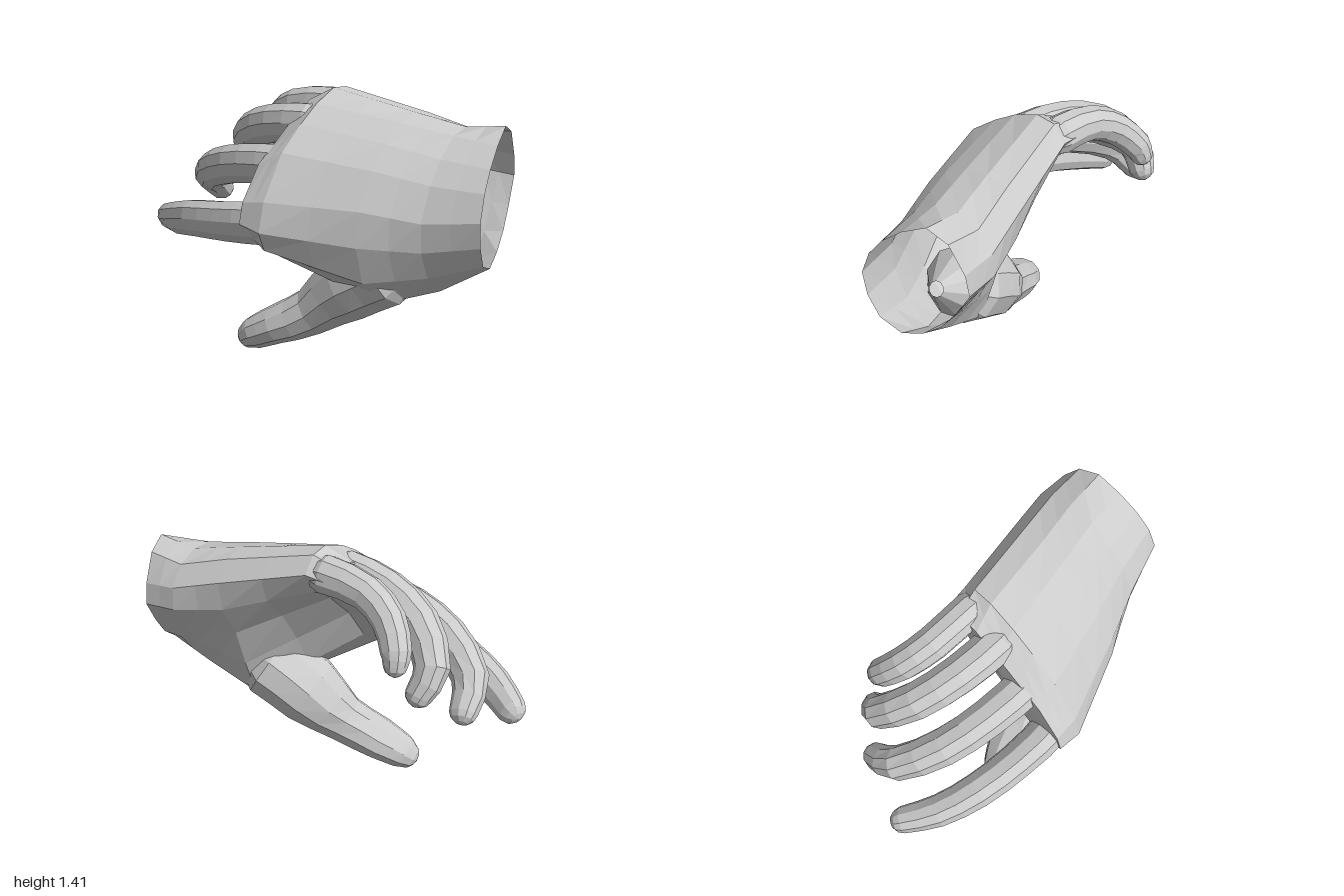
import * as THREE from 'three';

const V = (x, y, z) => new THREE.Vector3(x, y, z);
const skin = new THREE.MeshStandardMaterial({ color: 0xcccccc, flatShading: true, side: THREE.DoubleSide });

// Joins closed rings of equal point count and closes the last ring with a fan.
function loft(name, rings, tip) {
  const n = rings[0].length;
  const last = (rings.length - 1) * n;
  const pos = [...rings.flat(), tip].flatMap((p) => [p.x, p.y, p.z]);
  const index = [];
  for (let r = 0; r < rings.length - 1; r++) {
    for (let i = 0; i < n; i++) {
      const a = r * n + i, b = r * n + ((i + 1) % n);
      index.push(a, a + n, b + n, a, b + n, b);
    }
  }
  for (let i = 0; i < n; i++) index.push(last + i, last + n, last + ((i + 1) % n));
  let geo = new THREE.BufferGeometry();
  geo.setAttribute('position', new THREE.Float32BufferAttribute(pos, 3));
  geo.setIndex(index);
  geo = geo.toNonIndexed();
  geo.computeVertexNormals();
  const mesh = new THREE.Mesh(geo, skin);
  mesh.name = name;
  return mesh;
}

// Tapered digit along a curve; each station is [x, y, z, width radius, thickness radius].
function digit(name, stations, side, sides = 10) {
  const curve = new THREE.CatmullRomCurve3(stations.map((s) => V(s[0], s[1], s[2])));
  const spans = stations.length - 1;
  const steps = spans * 2;
  const rings = [];
  const addRing = (t, scale, push) => {
    const k = Math.min(Math.floor(t * spans), spans - 1), f = t * spans - k;
    const w = THREE.MathUtils.lerp(stations[k][3], stations[k + 1][3], f) * scale;
    const h = THREE.MathUtils.lerp(stations[k][4], stations[k + 1][4], f) * scale;
    const dir = curve.getTangent(t);
    const u = side.clone().addScaledVector(dir, -side.dot(dir)).normalize();
    const v = u.clone().cross(dir);
    const c = curve.getPoint(t).addScaledVector(dir, push);
    rings.push(Array.from({ length: sides }, (_, i) => {
      const a = (i / sides) * Math.PI * 2;
      return c.clone().addScaledVector(u, Math.cos(a) * w).addScaledVector(v, Math.sin(a) * h);
    }));
    return c.addScaledVector(dir, 0.01);
  };
  for (let i = 0; i <= steps; i++) addRing(i / steps, 1, 0);
  // rounded fingertip
  const r = stations[spans][4];
  addRing(1, 0.82, r * 0.42);
  const tip = addRing(1, 0.45, r * 0.7);
  return loft(name, rings, tip);
}

// Palm cross-section: a loop of [z, y] at x, slanted towards the wrist opening
function section(x, loop) {
  const slant = 0.67 * Math.max(0, x - 0.65);
  return loop.map(([z, y]) => V(x + slant * z, y, z));
}

export function createModel() {
  const hand = new THREE.Group();
  hand.name = 'hand';

  // Each loop runs from the little-finger edge over the back of the hand and returns along the palm
  const wrist = section(0.98, [[-.48, 1.13], [-.4, 1.27], [-.29, 1.32], [-.16, 1.25], [-.05, 1.16], [.03, 1.06],
    [.08, .93], [.06, .8], [0, .69], [-.12, .64], [-.24, .69], [-.34, .77], [-.42, .88], [-.5, 1.02]]);
  const heel = section(0.72, [[-.48, 1.15], [-.4, 1.25], [-.28, 1.29], [-.14, 1.27], [-.01, 1.18], [.09, 1.07],
    [.17, .9], [.16, .75], [.09, .6], [-.05, .49], [-.2, .57], [-.3, .74], [-.4, .9], [-.49, 1.03]]);
  const middle = section(0.45, [[-.42, 1.22], [-.34, 1.32], [-.22, 1.34], [-.08, 1.31], [.06, 1.23], [.18, 1.12],
    [.29, .94], [.31, .76], [.25, .56], [.08, .4], [-.16, .45], [-.23, .66], [-.3, .88], [-.4, 1.06]]);
  const knuckles = section(0, [[-.31, 1.34], [-.24, 1.42], [-.13, 1.43], [.02, 1.37], [.15, 1.29], [.31, 1.17],
    [.46, .95], [.5, .8], [.46, .7], [.36, .65], [.24, .75], [.09, .95], [-.09, 1.12], [-.24, 1.22]]);
  // the palm thins towards the webs between the fingers
  const webs = knuckles.map((p, i) => p.clone().lerp(knuckles[13 - i], 0.15).setX(-0.13));
  const rings = [wrist, heel, middle, knuckles, webs];
  // in-between rings give the facets of the back of the hand
  const dense = rings.flatMap((ring, r) => (rings[r + 1]
    ? [ring, ring.map((p, i) => p.clone().lerp(rings[r + 1][i], 0.5))] : [ring]));
  hand.add(loft('palmAndWrist', dense, V(-0.14, 1.08, 0.13)));

  // Four curled fingers, each starting as a narrow root inside the palm
  const across = V(0, -0.5, 0.85).normalize();
  const fingers = {
    indexFinger: [[.1, .83, .33, .05, .04], [-.06, .81, .375, .1, .13], [-.32, .77, .37, .092, .122],
      [-.56, .735, .335, .09, .11], [-.77, .68, .26, .082, .097], [-.93, .635, .155, .068, .078]],
    middleFinger: [[.1, 1.07, .18, .05, .04], [-.06, 1.07, .19, .105, .118], [-.32, 1.04, .17, .1, .115],
      [-.56, .975, .11, .097, .11], [-.77, .865, -.02, .088, .095], [-.81, .75, -.16, .07, .07]],
    ringFinger: [[.1, 1.25, -.04, .05, .04], [-.06, 1.25, -.02, .105, .115], [-.3, 1.22, -.04, .1, .11],
      [-.52, 1.14, -.11, .096, .105], [-.67, 1.0, -.24, .086, .09], [-.645, .88, -.32, .068, .068]],
    littleFinger: [[.1, 1.3, -.21, .04, .04], [-.06, 1.32, -.215, .09, .1], [-.3, 1.29, -.225, .088, .09],
      [-.45, 1.21, -.275, .085, .085], [-.535, 1.1, -.35, .076, .075], [-.55, 1.04, -.38, .06, .058]],
  };
  for (const [name, stations] of Object.entries(fingers)) hand.add(digit(name, stations, across));

  // Thumb, swelling into the ball of the palm
  hand.add(digit('thumb', [
    [.66, .7, -.06, .04, .04], [.43, .57, -.01, .22, .2], [.22, .435, .03, .205, .19], [.03, .27, .1, .14, .13],
    [-.16, .17, .165, .135, .105], [-.28, .105, .205, .105, .09], [-.31, .085, .215, .085, .075],
  ], V(0, -0.1, 1).normalize()));

  return hand;
}
